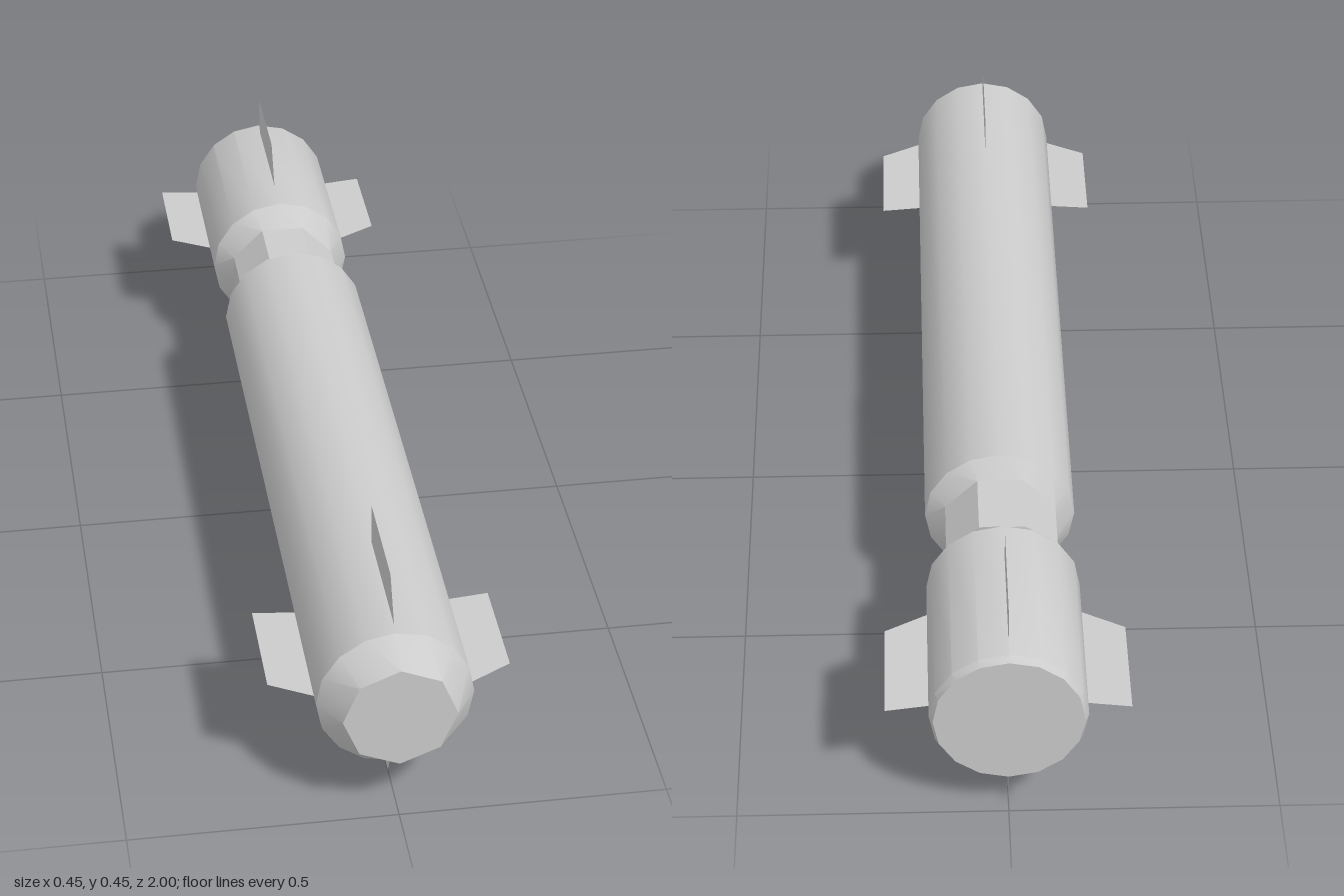
import * as THREE from 'three';
import { toCreasedNormals } from 'three/addons/utils/BufferGeometryUtils.js';

const SIDES = 16;
const AXIS_Y = 0.224;
const R = 0.145;

// Flats of an eight-sided ring drawn with sixteen points; odd = corners on odd points
const FLAT = Math.cos(Math.PI / 8);
const ringRadius = ({ r, corners }, i) => {
  if (corners === undefined) return r;
  return i % 2 === corners ? r : r * FLAT;
};

// Loft of rings ordered from front (+z) to back, closed at both ends
function loft(rings) {
  const positions = [];
  const index = [];
  rings.forEach((ring) => {
    for (let i = 0; i < SIDES; i++) {
      const a = (i / SIDES) * Math.PI * 2;
      const r = ringRadius(ring, i);
      positions.push(Math.sin(a) * r, Math.cos(a) * r, ring.z);
    }
  });
  const front = rings.length * SIDES;
  const back = front + 1;
  positions.push(0, 0, rings[0].z, 0, 0, rings[rings.length - 1].z);
  for (let i = 0; i < SIDES; i++) {
    const n = (i + 1) % SIDES;
    for (let j = 0; j < rings.length - 1; j++) {
      const a = j * SIDES + i, b = j * SIDES + n;
      index.push(a, b, a + SIDES, b, b + SIDES, a + SIDES);
    }
    const last = (rings.length - 1) * SIDES;
    index.push(front, n, i, back, last + i, last + n);
  }
  const geometry = new THREE.BufferGeometry();
  geometry.setAttribute('position', new THREE.Float32BufferAttribute(positions, 3));
  geometry.setIndex(index);
  return toCreasedNormals(geometry, THREE.MathUtils.degToRad(30));
}

// Thin fin outline: [z, distance from the axis]
function finGeometry(outline) {
  const shape = new THREE.Shape(outline.map(([z, r]) => new THREE.Vector2(z, r)));
  return new THREE.ShapeGeometry(shape).rotateY(-Math.PI / 2);
}

export function createModel() {
  const model = new THREE.Group();
  model.name = 'missile';
  const hullMaterial = new THREE.MeshStandardMaterial({ color: 0xcccccc });
  const finMaterial = new THREE.MeshStandardMaterial({ color: 0xcccccc, side: THREE.DoubleSide });

  const addHull = (name, rings) => {
    const mesh = new THREE.Mesh(loft(rings), hullMaterial);
    mesh.name = name;
    mesh.position.y = AXIS_Y;
    model.add(mesh);
  };

  // Main body with faceted nose and rear shoulder
  addHull('mainBody', [
    { z: 1, r: 0.105, corners: 0 },
    { z: 0.94, r: R },
    { z: -0.41, r: R },
    { z: -0.44, r: 0.115, corners: 1 },
  ]);
  // Eight-sided neck
  addHull('neck', [
    { z: -0.44, r: 0.115, corners: 1 },
    { z: -0.58, r: 0.115, corners: 1 },
  ]);
  // Tail section with slightly rounded end
  addHull('tailSection', [
    { z: -0.58, r: 0.115, corners: 1 },
    { z: -0.625, r: R },
    { z: -0.985, r: R },
    { z: -1, r: 0.138 },
  ]);

  // Two crosses of four fins
  const tip = 0.224;
  const finSets = {
    frontFin: [[0.92, 0.135], [0.87, tip], [0.65, tip], [0.66, 0.135]],
    tailFin: [[-0.7, 0.135], [-0.75, tip], [-0.968, tip], [-0.955, 0.135]],
  };
  for (const [name, outline] of Object.entries(finSets)) {
    const geometry = finGeometry(outline);
    for (let i = 0; i < 4; i++) {
      const fin = new THREE.Mesh(geometry, finMaterial);
      fin.name = `${name}${i + 1}`;
      fin.position.y = AXIS_Y;
      fin.rotation.z = (i * Math.PI) / 2;
      model.add(fin);
    }
  }
  return model;
}
